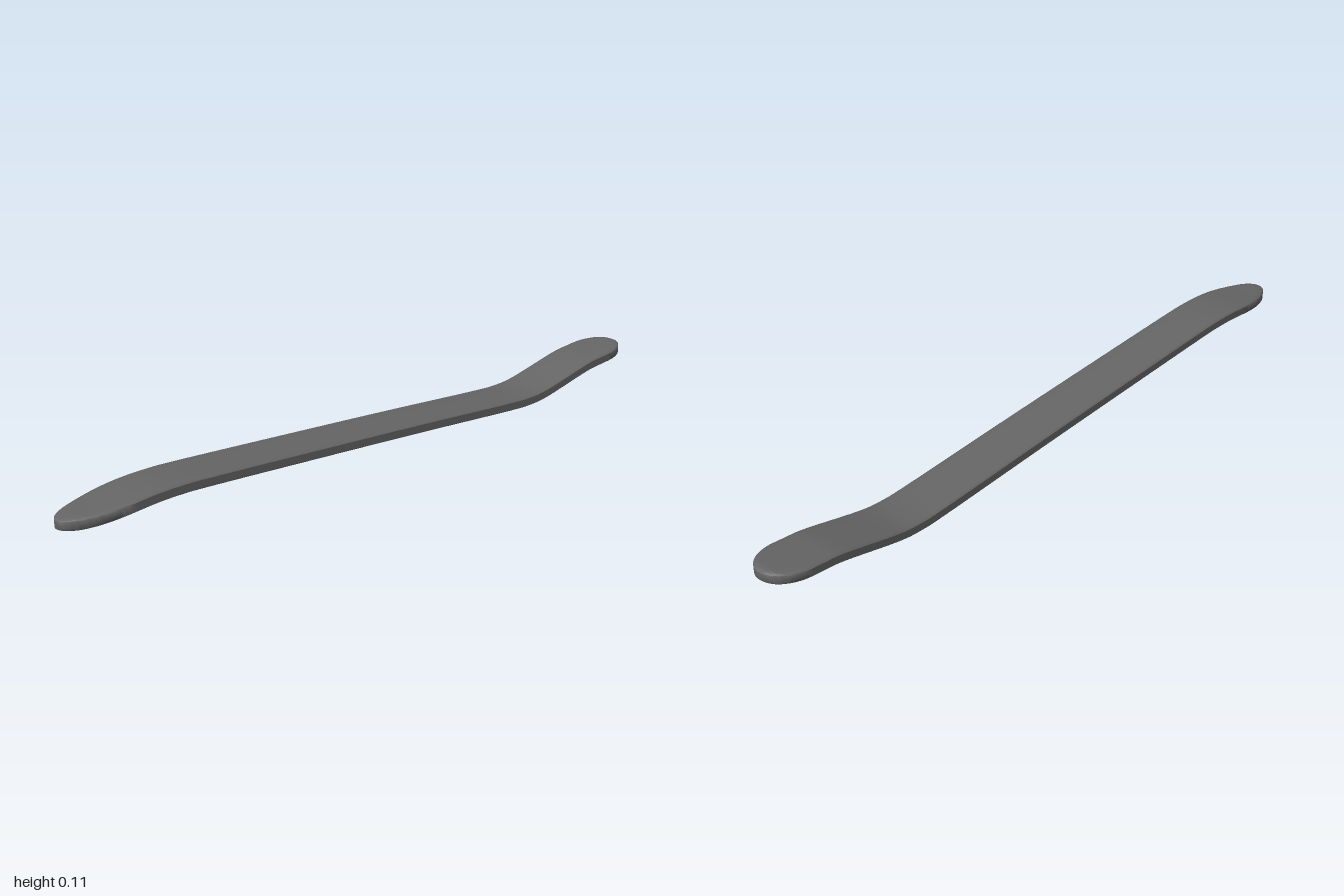
import * as THREE from 'three';
import { toCreasedNormals } from 'three/addons/utils/BufferGeometryUtils.js';

const HALF_WIDTH = 0.073;
const EDGE = 0.0105; // half height of the side wall

// Centre line of the bar as (z, y), back to front
const spine = new THREE.SplineCurve([
  [-1, 0.085], [-0.87, 0.073], [-0.8, 0.064], [-0.63, 0.026], [-0.55, 0.0175], [-0.45, 0.021],
  [-0.1, 0.045], [0.25, 0.067], [0.6, 0.088], [0.7, 0.0915], [0.79, 0.088], [0.92, 0.073], [1, 0.068],
].map(([z, y]) => new THREE.Vector2(z, y)));

// Upper right quarter of the section: (fraction of half width, half height)
const quarter = [[1, EDGE], [0.97, 0.0128], [0.9, 0.0145], [0.75, 0.016], [0.4, 0.0165], [0, 0.0165]];
const upper = [...quarter, ...quarter.slice(0, -1).reverse().map(([u, h]) => [-u, h])];
const section = [...upper, ...[...upper].reverse().map(([u, h]) => [u, -h])];

// Plan outline: long rounded front end, blunter back end
function halfWidth(z) {
  const t = z > 0.8 ? (z - 0.8) / 0.2 : z < -0.9 ? (-0.9 - z) / 0.1 : 0;
  return Math.max(0.0008, HALF_WIDTH * Math.sqrt(Math.max(0, 1 - t * t)));
}

function barGeometry(steps = 120) {
  const n = section.length;
  const positions = [], index = [];
  for (let i = 0; i <= steps; i++) {
    // stations crowd together towards the rounded ends
    const p = spine.getPointAt(0.5 - 0.5 * Math.cos(Math.PI * i / steps));
    const w = halfWidth(p.x);
    const crown = Math.min(1, 1.6 * w / HALF_WIDTH);
    for (const [u, h] of section) {
      const y = Math.sign(h) * (EDGE + (Math.abs(h) - EDGE) * crown);
      positions.push(u * w, p.y + y, p.x);
    }
    if (i === steps) break;
    for (let j = 0; j < n; j++) {
      const a = i * n + j, b = i * n + (j + 1) % n;
      index.push(a, b, b + n, a, b + n, a + n);
    }
  }
  // close both tips
  const last = steps * n;
  for (let j = 1; j < n - 1; j++) {
    index.push(0, j + 1, j);
    index.push(last, last + j, last + j + 1);
  }
  const geometry = new THREE.BufferGeometry();
  geometry.setAttribute('position', new THREE.Float32BufferAttribute(positions, 3));
  geometry.setIndex(index);
  geometry.computeBoundingBox();
  geometry.translate(0, -geometry.boundingBox.min.y, 0);
  return toCreasedNormals(geometry, 0.75);
}

export function createModel() {
  const group = new THREE.Group();
  group.name = 'flatBentBar';
  const bar = new THREE.Mesh(barGeometry(), new THREE.MeshStandardMaterial({ color: 0x666666 }));
  bar.name = 'bar';
  group.add(bar);
  return group;
}
